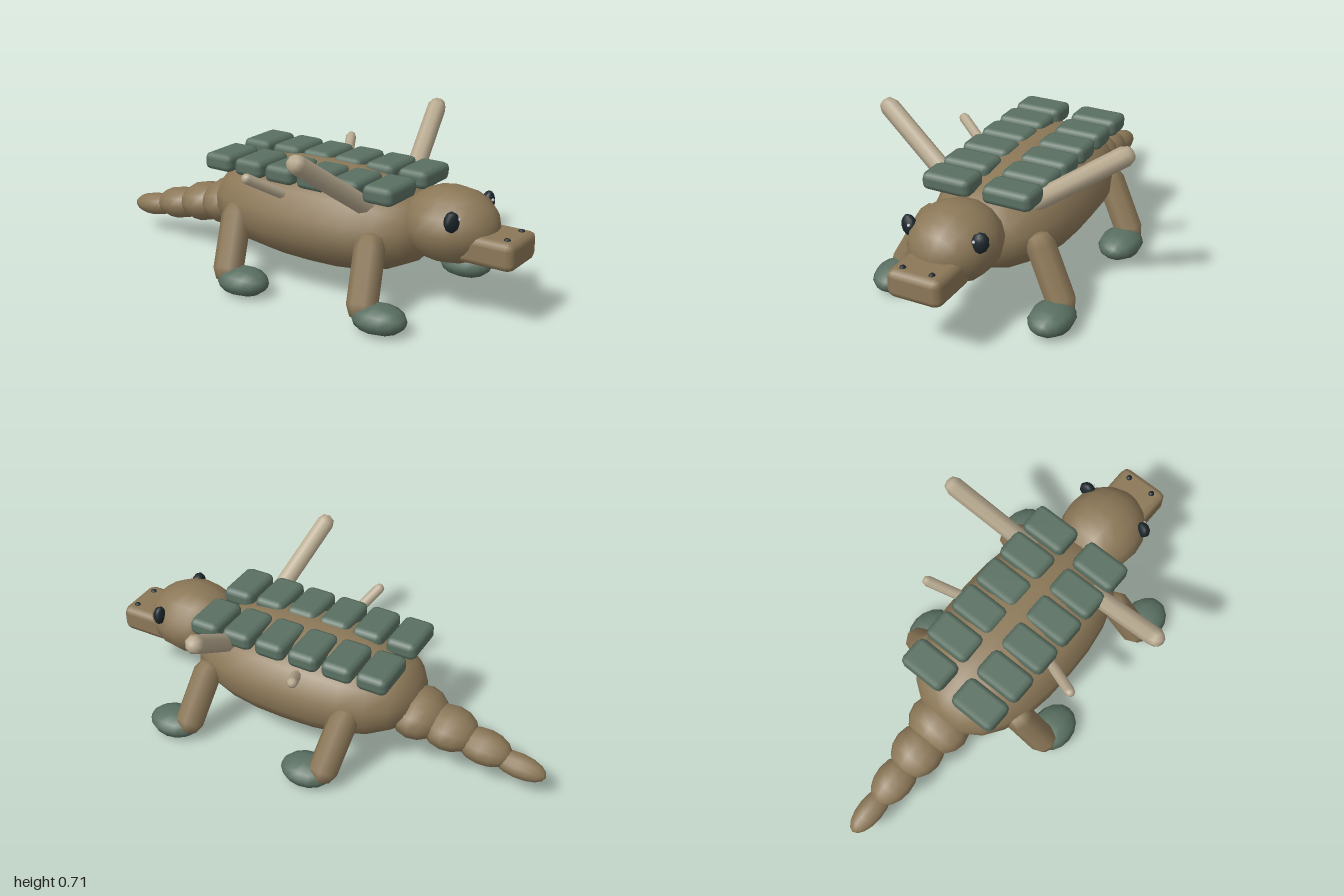
import * as THREE from 'three';
import { RoundedBoxGeometry } from 'three/addons/geometries/RoundedBoxGeometry.js';

const paint = (color) => new THREE.MeshStandardMaterial({ color });

export function createModel() {
  const model = new THREE.Group();
  const hide = paint(0x8c7858), green = paint(0x5a7062), bone = paint(0xb8aa90);
  const dark = paint(0x1c262b), white = paint(0xffffff);

  const add = (name, geometry, material, x, y, z) => {
    const mesh = new THREE.Mesh(geometry, material);
    mesh.name = name;
    mesh.position.set(x, y, z);
    model.add(mesh);
    return mesh;
  };
  // Ellipsoid with its poles along z
  const ellipsoid = (name, material, p, r, w = 12, h = 8) => {
    const g = new THREE.SphereGeometry(1, w, h).rotateX(Math.PI / 2).scale(...r);
    return add(name, g, material, ...p);
  };
  // Capsule whose axis runs from a to b
  const limb = (name, material, a, b, radius) => {
    const from = new THREE.Vector3(...a), to = new THREE.Vector3(...b);
    const dir = to.clone().sub(from);
    const mesh = add(name, new THREE.CapsuleGeometry(radius, dir.length(), 2, 8), material, 0, 0, 0);
    mesh.position.copy(from).add(to).multiplyScalar(0.5);
    mesh.quaternion.setFromUnitVectors(new THREE.Vector3(0, 1, 0), dir.normalize());
    return mesh;
  };

  // Barrel body: full-ended profile turned around z
  const profile = [];
  for (let i = 0; i <= 12; i++) {
    const t = -Math.cos((i / 12) * Math.PI);
    profile.push(new THREE.Vector2(Math.pow(Math.max(0, 1 - Math.pow(Math.abs(t), 2.5)), 0.4), t));
  }
  const bodyShape = new THREE.LatheGeometry(profile, 14).rotateX(Math.PI / 2).scale(0.3, 0.215, 0.52);
  add('body', bodyShape, hide, 0, 0.315, 0.09);

  // Head and snout
  ellipsoid('head', hide, [0, 0.37, 0.68], [0.182, 0.156, 0.2], 14, 10);
  add('snout', new RoundedBoxGeometry(0.23, 0.116, 0.24, 1, 0.03), hide, 0, 0.317, 0.88);

  // Tapering tail
  const tail = [
    [0.25, -0.43, 0.14, 0.105, 0.12],
    [0.22, -0.57, 0.112, 0.09, 0.122],
    [0.182, -0.725, 0.084, 0.073, 0.122],
    [0.145, -0.88, 0.056, 0.052, 0.12],
  ];
  tail.forEach(([y, z, rx, ry, rz], i) => {
    ellipsoid('tailSegment' + (i + 1), hide, [0, y, z], [rx, ry, rz], 12, 8).rotation.x = -0.12;
  });

  for (const s of [1, -1]) {
    const side = s > 0 ? 'left' : 'right';

    // Eyes with glints, and nostrils
    ellipsoid(side + 'Eye', dark, [s * 0.153, 0.435, 0.762], [0.035, 0.044, 0.026], 10, 8).rotation.set(0, s * 0.3, -s * 0.2);
    ellipsoid(side + 'EyeGlint', white, [s * 0.14, 0.448, 0.787], [0.007, 0.007, 0.007], 6, 5);
    ellipsoid(side + 'Nostril', dark, [s * 0.062, 0.372, 0.953], [0.014, 0.013, 0.014], 8, 6);

    // Legs and feet
    for (const [end, z] of [['Front', 0.46], ['Back', -0.2]]) {
      limb(side + end + 'Leg', hide, [s * 0.25, 0.295, z], [s * 0.355, 0.095, z + 0.035], 0.063);
      ellipsoid(side + end + 'Foot', green, [s * 0.354, 0.063, z + 0.112], [0.092, 0.06, 0.115], 10, 8);
    }

    // Long shoulder spike and short flank spike
    limb(side + 'LongSpike', bone, [s * 0.17, 0.43, 0.39], [s * 0.525, 0.677, 0.31], 0.041);
    limb(side + 'ShortSpike', bone, [s * 0.2, 0.41, 0.045], [s * 0.38, 0.52, -0.04], 0.023);

    // Row of back plates
    for (let i = 0; i < 6; i++) {
      const g = new RoundedBoxGeometry(0.213, 0.076, 0.138, 1, 0.026);
      add(side + 'BackPlate' + (i + 1), g, green, s * 0.134, 0.503, 0.475 - i * 0.157);
    }
  }
  return model;
}
